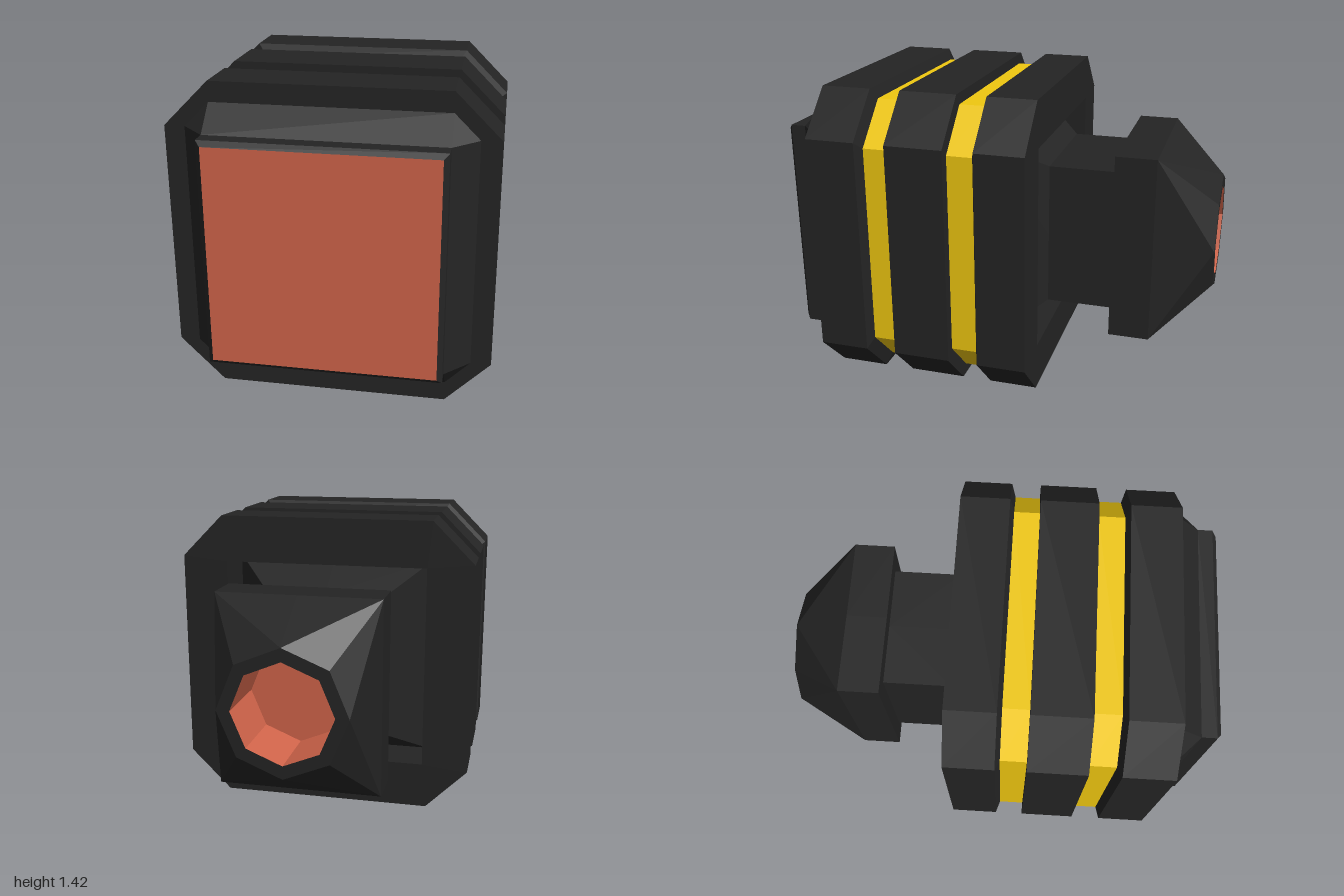
import * as THREE from 'three';

const CY = 0.7125; // height of the long axis
const paint = (color) => new THREE.MeshStandardMaterial({ color, flatShading: true });

// Eight-point loops, counter-clockwise seen from +z
const chamfered = (z, hx, hy = hx, c = 0) => [
  [hx, -hy + c, z], [hx, hy - c, z], [hx - c, hy, z], [-hx + c, hy, z],
  [-hx, hy - c, z], [-hx, -hy + c, z], [-hx + c, -hy, z], [hx - c, -hy, z],
];
const rectangle = (z, hx, hy) => [
  [hx, 0, z], [hx, hy, z], [0, hy, z], [-hx, hy, z],
  [-hx, 0, z], [-hx, -hy, z], [0, -hy, z], [hx, -hy, z],
];
const octagon = (z, r) => Array.from({ length: 8 }, (_, i) => {
  const a = (i * Math.PI) / 4;
  return [r * Math.cos(a), r * Math.sin(a), z];
});

// Skin a row of loops, with optional flat ends
function loft(loops, capStart = false, capEnd = false) {
  const pos = [];
  const tri = (...pts) => pts.forEach((p) => pos.push(...p));
  const n = 8;
  for (let k = 0; k < loops.length - 1; k++) {
    const A = loops[k], B = loops[k + 1];
    for (let i = 0; i < n; i++) {
      const j = (i + 1) % n;
      // diagonals alternate so that facets fan out from the corners
      if (i % 2) {
        tri(A[i], A[j], B[i]);
        tri(A[j], B[j], B[i]);
      } else {
        tri(A[i], A[j], B[j]);
        tri(A[i], B[j], B[i]);
      }
    }
  }
  const first = loops[0], last = loops[loops.length - 1];
  for (let i = 1; i < n - 1; i++) {
    if (capStart) tri(first[0], first[i + 1], first[i]);
    if (capEnd) tri(last[0], last[i], last[i + 1]);
  }
  const g = new THREE.BufferGeometry();
  g.setAttribute('position', new THREE.Float32BufferAttribute(pos, 3));
  g.computeVertexNormals();
  return g;
}

export function createModel() {
  const model = new THREE.Group();
  model.name = 'model';
  const black = paint(0x242424), yellow = paint(0xf0c810), red = paint(0xd0644a);
  const add = (name, geometry, material) => {
    const mesh = new THREE.Mesh(geometry, material);
    mesh.name = name;
    mesh.position.y = CY;
    model.add(mesh);
    return mesh;
  };
  const plate = (z) => chamfered(z, 0.7125, 0.7125, 0.2);
  const band = (z) => chamfered(z, 0.66, 0.66, 0.185);

  // Body plates
  add('backPlate', loft([
    chamfered(0.01, 0.49), chamfered(-0.22, 0.49), plate(-0.22), plate(0.01), band(0.03),
  ], false, true), black);
  add('middlePlate', loft([plate(0.15), plate(0.42)], true, true), black);
  add('frontPlate', loft([band(0.545), plate(0.565), plate(0.8)], true, true), black);

  // Coloured bands between the plates
  add('backBand', loft([band(0.03), band(0.15)]), yellow);
  add('frontBand', loft([band(0.42), band(0.545)]), yellow);

  // Stepped front frame and its flat face
  add('frontFrame', loft([
    chamfered(0.8, 0.6225, 0.6225, 0.11), chamfered(0.91, 0.5125),
    chamfered(0.98, 0.5125), chamfered(1, 0.49),
  ]), black);
  add('frontPanel', new THREE.PlaneGeometry(0.98, 0.98), red).position.z = 1;

  // Neck flaring out into the back recess
  add('neck', loft([
    rectangle(-0.54, 0.288, 0.345), rectangle(-0.22, 0.288, 0.345), rectangle(0.01, 0.49, 0.49),
  ]), black);

  // Tapered rear head with an octagonal mouth
  add('rearHead', loft([
    octagon(-1, 0.225), octagon(-1, 0.285), rectangle(-0.73, 0.372, 0.445), rectangle(-0.54, 0.372, 0.445),
  ], false, true), black);
  add('mouth', loft([octagon(-0.7, 0.225), octagon(-1, 0.225)], true), red);

  return model;
}
